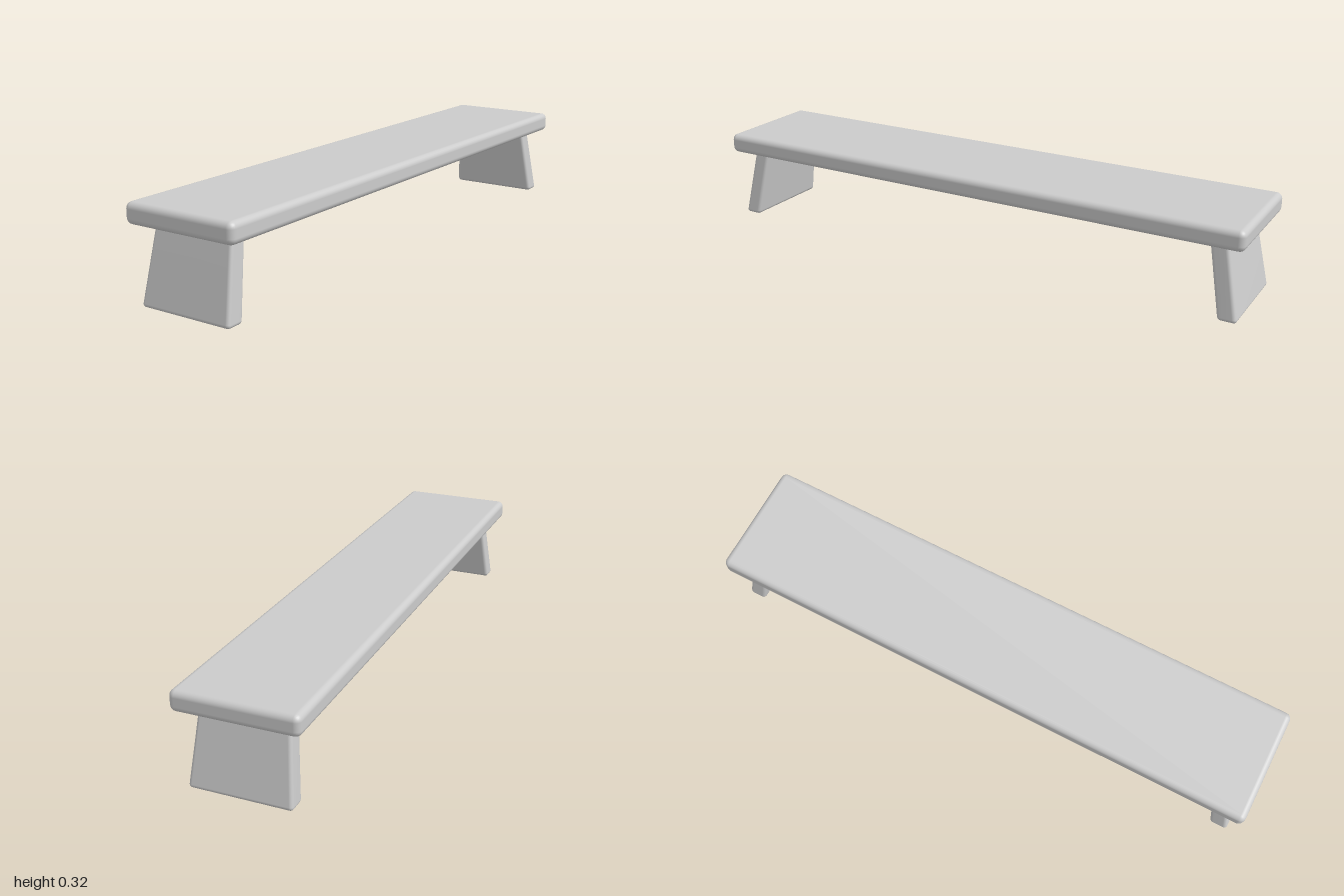
import * as THREE from 'three';
import { RoundedBoxGeometry } from 'three/addons/geometries/RoundedBoxGeometry.js';
import { mergeVertices } from 'three/addons/utils/BufferGeometryUtils.js';

const SEAT_BOTTOM = 0.253, SEAT_TOP = 0.323;
const LEG_HEIGHT = 0.28; // runs a little way into the seat

// Rounded slab, tapered towards the top and leaning inwards from its foot
function legGeometry() {
  let geometry = new RoundedBoxGeometry(0.342, LEG_HEIGHT, 0.064, 3, 0.013);
  geometry.translate(0, LEG_HEIGHT / 2, 0);
  const p = geometry.attributes.position;
  for (let i = 0; i < p.count; i++) {
    const t = p.getY(i) / SEAT_BOTTOM;
    p.setX(i, p.getX(i) * (1 - 0.135 * t));
    p.setZ(i, p.getZ(i) * (1 - 0.06 * t) + 0.954 - 0.05 * t);
  }
  geometry.deleteAttribute('normal');
  geometry.deleteAttribute('uv');
  geometry = mergeVertices(geometry, 1e-5);
  geometry.computeVertexNormals();
  return geometry;
}

export function createModel() {
  const model = new THREE.Group();
  model.name = 'bench';
  const material = new THREE.MeshStandardMaterial({ color: 0xcccccc });

  // Long seat plank with rounded edges
  const seat = new THREE.Mesh(
    new RoundedBoxGeometry(0.414, SEAT_TOP - SEAT_BOTTOM, 2, 3, 0.021), material);
  seat.position.y = (SEAT_BOTTOM + SEAT_TOP) / 2;
  seat.name = 'seat';
  model.add(seat);

  // One splayed slab leg at each end
  const leg = legGeometry();
  for (const [name, turn] of [['frontLeg', 0], ['backLeg', Math.PI]]) {
    const mesh = new THREE.Mesh(leg, material);
    mesh.rotation.y = turn;
    mesh.name = name;
    model.add(mesh);
  }
  return model;
}
